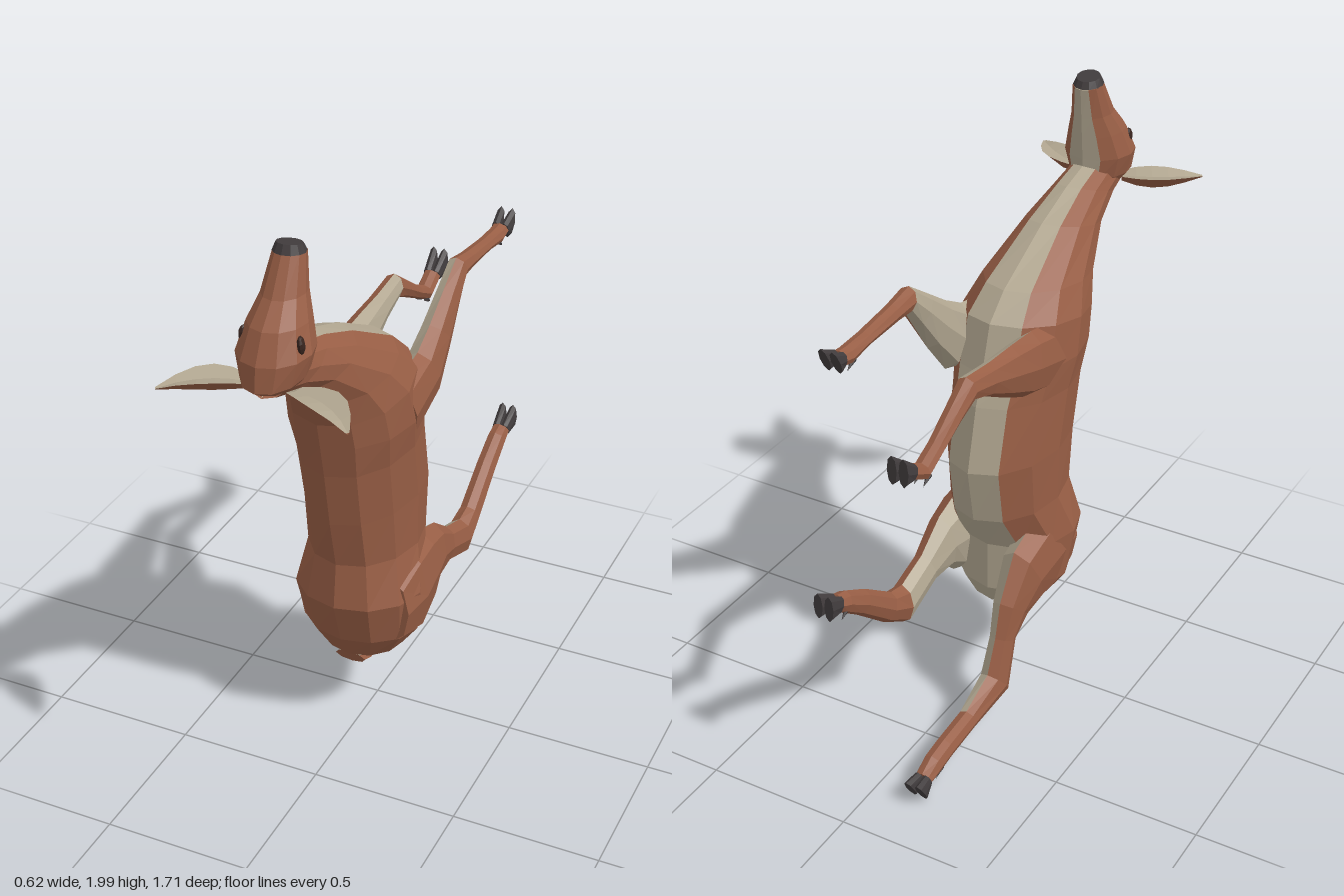
import * as THREE from 'three';

const mat = (name, color) => {
  const m = new THREE.MeshStandardMaterial({ color, flatShading: true });
  m.name = name;
  return m;
};

// Elliptical ring of n points between two edge points [zA, yA, zB, yB], starting at A
function ring([za, ya, zb, yb, halfWidth], x, n) {
  return Array.from({ length: n }, (_, k) => {
    const a = (k / n) * Math.PI * 2, d = Math.cos(a) / 2;
    return new THREE.Vector3(
      x + Math.sin(a) * halfWidth, (ya + yb) / 2 + d * (ya - yb), (za + zb) / 2 + d * (za - zb));
  });
}

// Capped skin over rings; pick(i, j) gives the material slot of each face
function loft(name, rings, materials, pick = () => 0) {
  const n = rings[0].length;
  const slots = materials.map(() => []);
  const tri = (s, ...pts) => pts.forEach((p) => slots[s].push(p.x, p.y, p.z));
  for (let i = 0; i < rings.length - 1; i++) {
    for (let j = 0; j < n; j++) {
      const k = (j + 1) % n, s = pick(i, j);
      tri(s, rings[i][j], rings[i][k], rings[i + 1][k]);
      tri(s, rings[i][j], rings[i + 1][k], rings[i + 1][j]);
    }
  }
  const first = rings[0], last = rings[rings.length - 1];
  for (let j = 1; j < n - 1; j++) {
    tri(pick(0, j), first[0], first[j + 1], first[j]);
    tri(pick(rings.length - 2, j), last[0], last[j], last[j + 1]);
  }
  const geo = new THREE.BufferGeometry();
  geo.setAttribute('position', new THREE.Float32BufferAttribute(slots.flat(), 3));
  let start = 0;
  slots.forEach((s, m) => {
    geo.addGroup(start, s.length / 3, m);
    start += s.length / 3;
  });
  geo.computeVertexNormals();
  const mesh = new THREE.Mesh(geo, materials);
  mesh.name = name;
  return mesh;
}

// Edge points across a joint path of [z, y, halfThickness], square to the bend
function limbSections(path) {
  const dir = (p, q) => new THREE.Vector2(q[0] - p[0], q[1] - p[1]).normalize();
  return path.map(([z, y, t], i) => {
    const before = path[Math.max(i - 1, 0)], after = path[Math.min(i + 1, path.length - 1)];
    const d = dir(before, path[i]).add(dir(path[i], after)).normalize().multiplyScalar(t);
    return [z + d.y, y - d.x, z - d.y, y + d.x, 0.023 + 0.32 * t];
  });
}

export function createModel() {
  const coat = mat('brown coat', 0x985e45);
  const cream = mat('cream underside', 0xb2a791);
  const horn = mat('dark horn', 0x413c3d);
  const eyeMat = mat('dark eye', 0x38251f);
  const model = new THREE.Group();
  model.name = 'deer';
  const bodyX = -0.018;
  const bodyPart = (name, sections, n, ...skin) =>
    model.add(loft(name, sections.map((s) => ring(s, bodyX, n)), ...skin));

  // Torso and neck, from rump to throat
  bodyPart('body', [
    [0.10, 0.26, -0.02, 0.265, 0.06], [0.20, 0.30, -0.08, 0.30, 0.14],
    [0.26, 0.40, -0.11, 0.37, 0.2], [0.31, 0.56, -0.11, 0.55, 0.22],
    [0.29, 0.72, -0.20, 0.70, 0.185], [0.33, 0.90, -0.235, 0.90, 0.185],
    [0.365, 1.10, -0.18, 1.12, 0.19], [0.39, 1.22, -0.14, 1.22, 0.205],
    [0.41, 1.31, -0.09, 1.38, 0.198], [0.46, 1.41, 0.0, 1.46, 0.165],
    [0.56, 1.51, 0.25, 1.59, 0.115], [0.68, 1.56, 0.42, 1.655, 0.088],
    [0.76, 1.585, 0.55, 1.69, 0.08],
  ], 12, [coat, cream], (i, j) => (j === 5 || j === 6 || (i < 3 && (j === 4 || j === 7)) ? 1 : 0));

  // Head, from nape to muzzle, with cream jaw
  bodyPart('head', [
    [0.72, 1.57, 0.58, 1.58, 0.05], [0.80, 1.62, 0.535, 1.64, 0.095],
    [0.79, 1.70, 0.53, 1.71, 0.115], [0.745, 1.79, 0.522, 1.79, 0.092],
    [0.68, 1.86, 0.515, 1.86, 0.067], [0.612, 1.975, 0.505, 1.962, 0.05],
  ], 12, [coat, cream], (i, j) => (i > 0 && (j === 5 || j === 6) ? 1 : 0));
  bodyPart('nose', [[0.614, 1.972, 0.508, 1.962, 0.051], [0.6, 2.0, 0.52, 1.985, 0.04]], 12, [horn]);

  // Tail, pale on the inner face
  bodyPart('tail', [
    [0.20, 0.31, 0.17, 0.25, 0.055], [0.12, 0.255, 0.10, 0.225, 0.045], [0.03, 0.225, 0.03, 0.208, 0.018],
  ], 8, [coat, cream], (i, j) => (j === 0 || j === 7 ? 1 : 0));

  // Leaf-shaped cupped ears along a curve, and eyes, mirrored
  const earLine = new THREE.QuadraticBezierCurve3(
    new THREE.Vector3(0.07, 1.605, 0.705), new THREE.Vector3(0.2, 1.635, 0.72),
    new THREE.Vector3(0.305, 1.595, 0.845));
  const earRings = earLine.getPoints(5).map((c, i) => {
    const w = 0.006 + 0.054 * Math.sin(Math.PI * (0.14 + 0.172 * i));
    const across = new THREE.Vector3(-0.5, 0, 0.86).multiplyScalar(w);
    const drop = (k) => c.clone().setY(c.y - w * k);
    return [c.clone().sub(across), drop(0.25), c.clone().add(across), drop(0.9)];
  });
  for (const side of [1, -1]) {
    const group = new THREE.Group();
    group.name = side > 0 ? 'leftFace' : 'rightFace';
    group.add(loft('ear', earRings, [coat, cream], (i, j) => (j < 2 ? 1 : 0)));
    const eye = new THREE.Mesh(new THREE.SphereGeometry(0.03, 8, 6), eyeMat);
    eye.name = 'eye';
    eye.scale.set(0.4, 1, 0.75);
    eye.position.set(0.09, 1.748, 0.695);
    eye.rotation.set(0.25, 0.35, 0);
    group.add(eye);
    group.scale.x = side;
    group.position.x = -0.01;
    model.add(group);
  }

  // Leg with a pale inner face on its upper sections, cloven hoof and dewclaws
  function addLeg(name, side, pale, sole, path) {
    const leg = new THREE.Group();
    leg.name = name;
    const x = side * 0.14 - 0.01;
    const sections = limbSections(path);
    leg.add(loft('limb', sections.map((s) => ring(s, x, 8)), [coat, cream],
      (i, j) => (i < pale && (side > 0 ? j >= 4 : j < 4) ? 1 : 0)));
    const [fetlock, end] = sections.slice(-2);
    for (const s of [1, -1]) {
      const top = [...end.slice(0, 4), 0.017], bottom = [...sole, 0.017];
      leg.add(loft('hoof', [ring(top, x + s * 0.015, 8), ring(bottom, x + s * 0.02, 8)], [horn]));
      const dewclaw = new THREE.Mesh(new THREE.ConeGeometry(0.011, 0.045, 5), horn);
      dewclaw.name = 'dewclaw';
      dewclaw.position.set(x + s * 0.016, fetlock[3], fetlock[2]);
      dewclaw.rotation.x = -2.2;
      leg.add(dewclaw);
    }
    model.add(leg);
  }
  addLeg('leftForeleg', 1, 4, [-0.78, 1.578, -0.74, 1.487], [
    [0.12, 1.24, 0.12], [-0.07, 1.29, 0.11], [-0.17, 1.38, 0.082], [-0.265, 1.475, 0.057],
    [-0.34, 1.545, 0.042], [-0.42, 1.537, 0.029], [-0.58, 1.525, 0.022], [-0.68, 1.515, 0.028],
    [-0.718, 1.522, 0.024]]);
  addLeg('rightForeleg', -1, 4, [-0.852, 1.34, -0.85, 1.24], [
    [0.12, 1.22, 0.12], [-0.085, 1.27, 0.11], [-0.21, 1.305, 0.085], [-0.335, 1.34, 0.055],
    [-0.455, 1.367, 0.044], [-0.54, 1.32, 0.031], [-0.64, 1.262, 0.024], [-0.722, 1.222, 0.028],
    [-0.792, 1.26, 0.026]]);
  addLeg('leftHindLeg', 1, 5, [-0.863, 0.76, -0.862, 0.665], [
    [0.18, 0.51, 0.13], [0.055, 0.515, 0.185], [-0.07, 0.535, 0.155], [-0.16, 0.54, 0.11],
    [-0.27, 0.5, 0.066], [-0.42, 0.447, 0.073], [-0.51, 0.49, 0.051], [-0.66, 0.607, 0.043],
    [-0.757, 0.67, 0.036], [-0.797, 0.688, 0.028]]);
  addLeg('rightHindLeg', -1, 6, [-0.828, 0.092, -0.778, 0.006], [
    [0.17, 0.49, 0.13], [0.045, 0.49, 0.17], [-0.095, 0.46, 0.147], [-0.183, 0.38, 0.094],
    [-0.237, 0.292, 0.057], [-0.292, 0.143, 0.075], [-0.475, 0.108, 0.037], [-0.62, 0.095, 0.037],
    [-0.695, 0.083, 0.038], [-0.755, 0.064, 0.026]]);
  return model;
}
